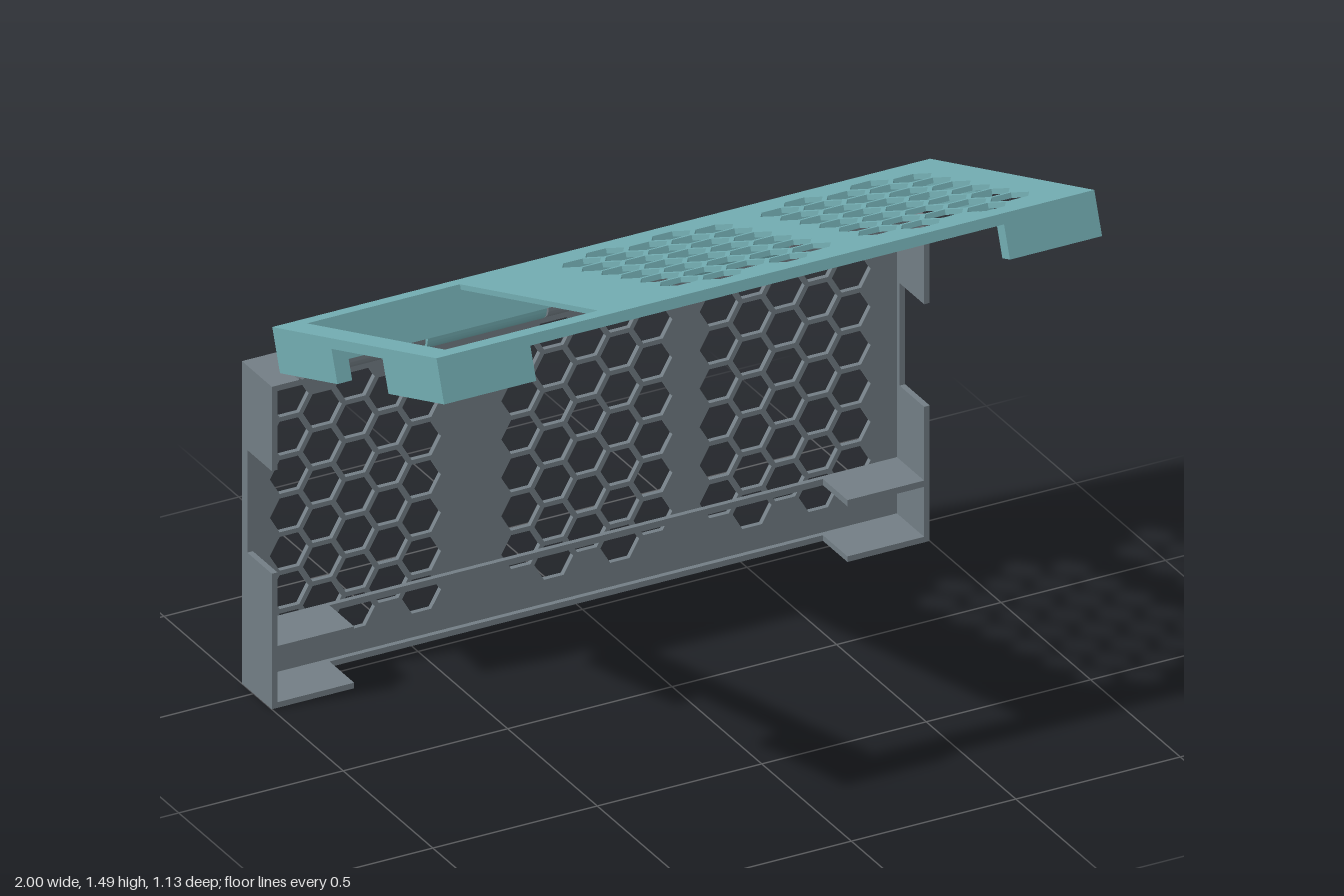
import * as THREE from 'three';
import { toCreasedNormals } from 'three/addons/utils/BufferGeometryUtils.js';

const LENGTH = 0.975;  // hinge edge to free edge of each tray
const PLATE = 0.015;   // plate thickness
const LIP = 0.03;      // height left where a wall is notched
const ARM = 0.047;     // hinge axis to tray edge
const COL = 0.1005, ROW = 0.116; // honeycomb spacing

// Hexagon with points left and right
function hexagon(x, u, r = 0.059) {
  const pts = [];
  for (let k = 0; k < 6; k++) {
    const a = k * Math.PI / 3;
    pts.push(new THREE.Vector2(x + r * Math.cos(a), u + r * Math.sin(a)));
  }
  return new THREE.Path(pts);
}

// Five-column vent fields, starting at the given columns; even columns have seven cells
function vents(starts, flip) {
  const holes = [];
  for (const s of starts) {
    for (let c = s; c < s + 5; c++) {
      const odd = c % 2;
      for (let r = 0; r < 7 - odd; r++) {
        holes.push(hexagon(flip * (-0.864 + c * COL), 0.139 + (r + odd / 2) * ROW));
      }
    }
  }
  return holes;
}

// Tray frame: z runs from hinge edge to free edge, -y runs from plate to rim
function makeTray(name, mat, o) {
  const g = new THREE.Group();
  g.name = name;
  const { depth: D, wall: t, notch, tab } = o;

  const add = (part, geo) => {
    const m = new THREE.Mesh(geo, mat);
    m.name = part;
    g.add(m);
    return m;
  };
  const box = (part, x0, x1, d0, d1, u0, u1) => {
    add(part, new THREE.BoxGeometry(x1 - x0, d1 - d0, u1 - u0))
      .position.set((x0 + x1) / 2, -(d0 + d1) / 2, (u0 + u1) / 2);
  };

  // Perforated plate
  const shape = new THREE.Shape([[-1, 0], [1, 0], [1, LENGTH], [-1, LENGTH]]
    .map(p => new THREE.Vector2(...p)));
  shape.holes.push(...o.holes);
  add('plate', new THREE.ExtrudeGeometry(shape, { depth: PLATE, bevelEnabled: false })
    .rotateX(Math.PI / 2));

  // Hinge-side wall
  box('hingeWall', -1, 1, PLATE, D, 0, t);

  // Side walls with a notch
  for (const s of [-1, 1]) {
    const x0 = s < 0 ? -1 : 1 - t;
    box('sideLip', x0, x0 + t, PLATE, LIP, t, LENGTH - t);
    box('sideWallRear', x0, x0 + t, LIP, D, t, notch[0]);
    box('sideWallFront', x0, x0 + t, LIP, D, notch[1], LENGTH - t);
  }

  // Low cross walls with a full-height tab at each end
  const crossWall = (part, half, u0, u1) => {
    box(part + 'Lip', -half, half, PLATE, LIP, u0, u1);
    box(part + 'Tab', -half, -tab, LIP, D, u0, u1);
    box(part + 'Tab', tab, half, LIP, D, u0, u1);
  };
  crossWall('freeEdge', 1, LENGTH - t, LENGTH);
  if (o.rib) crossWall('rib', 1 - t, o.rib[0], o.rib[1]);

  // Hinge knuckles: a bored barrel with an arm to the tray edge, drawn in (y, z)
  const R = 0.041;
  const profile = new THREE.Shape();
  profile.moveTo(R, 0);
  profile.absarc(0, 0, R, 0, -1.5 * Math.PI, true);
  profile.lineTo(0, ARM);
  profile.lineTo(R, ARM);
  profile.closePath();
  const bore = new THREE.Path();
  bore.absarc(0, 0, 0.017, 0, Math.PI * 2, false);
  profile.holes.push(bore);
  const W = 0.362;
  const axes = new THREE.Matrix4().makeBasis(
    new THREE.Vector3(0, 1, 0), new THREE.Vector3(0, 0, 1), new THREE.Vector3(1, 0, 0));
  const knuckle = toCreasedNormals(
    new THREE.ExtrudeGeometry(profile, { depth: W, bevelEnabled: false, curveSegments: 24 })
      .applyMatrix4(axes), 0.6);
  for (const x of o.knuckles) add('hingeKnuckle', knuckle).position.set(x - W / 2, -D, -ARM);

  return g;
}

export function createModel() {
  const model = new THREE.Group();
  model.name = 'hingedVentedCase';
  const grey = new THREE.MeshStandardMaterial({ color: 0x727d84 });
  grey.name = 'slateGrey';
  const teal = new THREE.MeshStandardMaterial({ color: 0x72acb1 });
  teal.name = 'teal';

  // Upright base tray, its plate at the back
  const base = makeTray('base', grey, {
    depth: 0.167, wall: 0.017, notch: [0.255, 0.565], tab: 0.75,
    rib: [0.788, 0.807], holes: vents([0, 7, 13], -1), knuckles: [-0.736, 0, 0.736],
  });
  base.setRotationFromMatrix(new THREE.Matrix4().makeBasis(
    new THREE.Vector3(-1, 0, 0), new THREE.Vector3(0, 0, -1), new THREE.Vector3(0, -1, 0)));
  base.position.set(0, LENGTH, -0.565);

  // Raised lid tray with a rectangular window
  const opening = new THREE.Path([[-0.93, 0.07], [-0.465, 0.07], [-0.465, 0.89], [-0.93, 0.89]]
    .map(p => new THREE.Vector2(...p)));
  const lid = makeTray('lid', teal, {
    depth: 0.127, wall: 0.045, notch: [0.341, 0.644], tab: 0.72,
    holes: [opening, ...vents([7, 13], 1)], knuckles: [-0.368, 0.368],
  });
  lid.rotation.x = -THREE.MathUtils.degToRad(20);
  lid.position.set(0, 1.157, -0.396);

  model.add(base, lid);
  return model;
}
